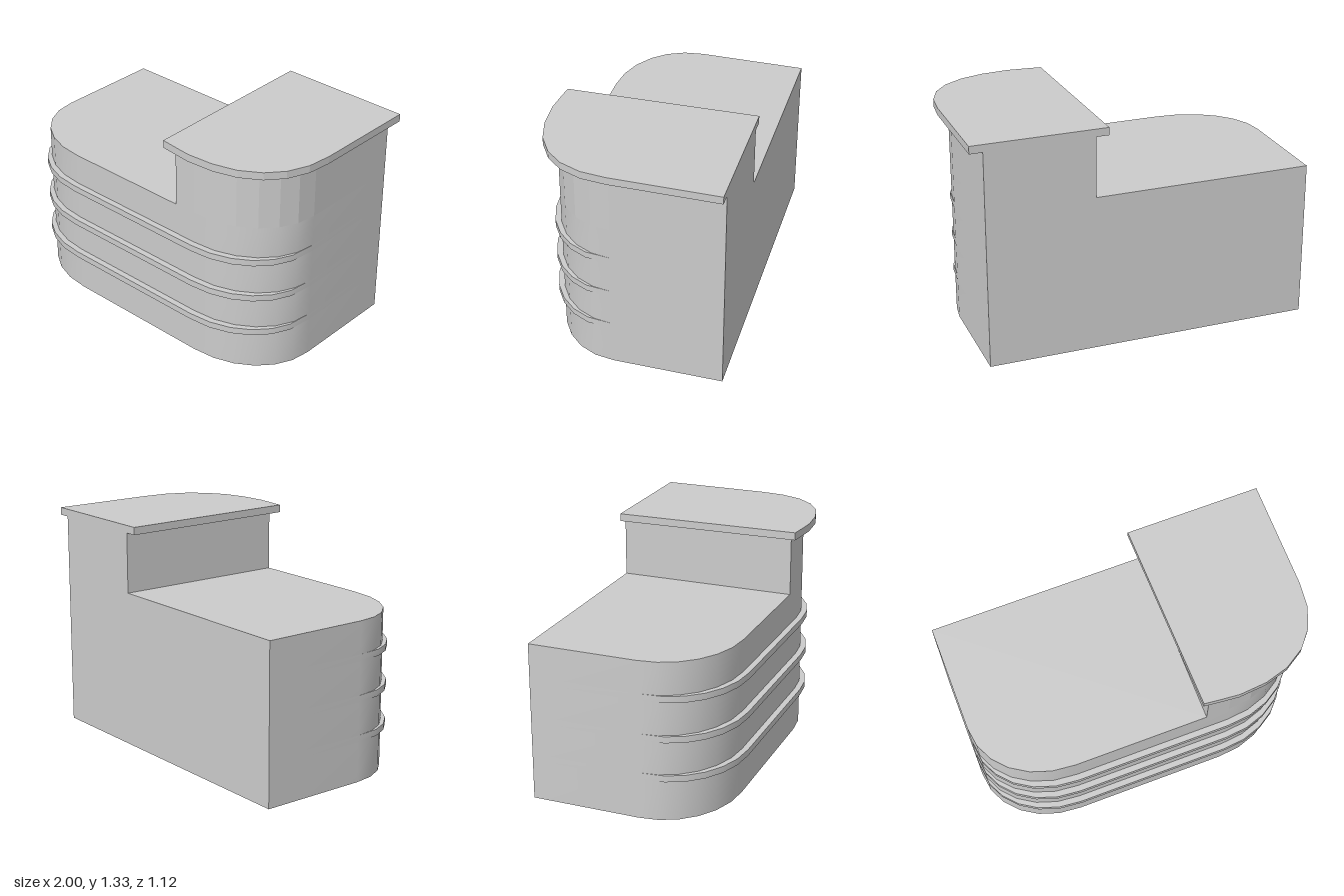
import * as THREE from 'three';

const BACK = -0.56, LEFT = -1, RIGHT = 0.925, FRONT = 0.5;
const DECK = 0.93, STEP_X = 0.29, RISER_TOP = 1.285, CAP_H = 0.045;

const material = new THREE.MeshStandardMaterial({ color: 0xcccccc, side: THREE.DoubleSide });

// Rounded corner from the side wall (a = 0) to the front wall (a = 90 degrees), as [x, z]
function corner(sign) {
  const pts = [], steps = 6;
  const cx = sign < 0 ? LEFT + 0.5 : RIGHT - 0.5;
  for (let i = 0; i <= steps; i++) {
    const a = (i / steps) * Math.PI / 2;
    const e = 0.96;
    pts.push([cx + sign * 0.5 * Math.cos(a) ** e, 0.08 + 0.42 * Math.sin(a) ** e]);
  }
  return pts;
}

// Ruled strip between two plan paths, each at its own height
function strip(lower, y0, upper, y1, flat = false) {
  const pos = [], index = [];
  lower.forEach(([x, z], i) => {
    pos.push(x, y0, z, upper[i][0], y1, upper[i][1]);
    if (i) {
      const a = 2 * i - 2;
      index.push(a, a + 2, a + 3, a, a + 3, a + 1);
    }
  });
  let g = new THREE.BufferGeometry();
  g.setAttribute('position', new THREE.Float32BufferAttribute(pos, 3));
  g.setIndex(index);
  if (flat) g = g.toNonIndexed();
  g.computeVertexNormals();
  return g;
}

// Plan outline as a shape; after rotateX(-90 degrees) it lies flat with the right z
const planShape = pts => new THREE.Shape(pts.map(([x, z]) => new THREE.Vector2(x, -z)));

export function createModel() {
  const model = new THREE.Group();
  const add = (parent, name, geometry) => {
    const mesh = new THREE.Mesh(geometry, material);
    mesh.name = name;
    parent.add(mesh);
  };

  const leftCorner = corner(-1), rightCorner = corner(1).reverse();
  const path = [[LEFT, BACK], ...leftCorner, ...rightCorner, [RIGHT, BACK]];
  // Bands follow the wall pushed forward, fading into the sides
  const bandPath = path.map(([x, z]) => [x, z > 0.081 ? z + 0.036 : z]);

  // Curved front wall, swelling out into three bands, open underneath
  const wall = new THREE.Group();
  wall.name = 'frontWall';
  model.add(wall);
  let y = 0;
  for (const y0 of [0.236, 0.468, 0.702]) {
    const y1 = y0 + 0.038;
    add(wall, 'wallPanel', strip(path, y, path, y0));
    add(wall, 'bandUnderside', strip(path, y0, bandPath, y0));
    add(wall, 'bandFace', strip(bandPath, y0, bandPath, y1));
    add(wall, 'bandTop', strip(bandPath, y1, path, y1));
    y = y1;
  }
  add(wall, 'wallPanel', strip(path, y, path, DECK));

  // Flat stepped back
  const back = new THREE.Shape([
    [LEFT, 0], [RIGHT, 0], [RIGHT, RISER_TOP], [STEP_X, RISER_TOP], [STEP_X, DECK], [LEFT, DECK],
  ].map(([x, h]) => new THREE.Vector2(-x, h)));
  add(model, 'backPanel', new THREE.ShapeGeometry(back).rotateY(Math.PI).translate(0, 0, BACK));

  // Low counter top
  const deck = [[LEFT, BACK], ...leftCorner, [STEP_X, FRONT], [STEP_X, BACK]];
  add(model, 'lowCounterTop',
    new THREE.ShapeGeometry(planShape(deck)).rotateX(-Math.PI / 2).translate(0, DECK, 0));

  // Faceted raised section
  const riser = [[STEP_X, BACK], [STEP_X, FRONT], ...rightCorner, [RIGHT, BACK]];
  add(model, 'raisedSection', strip(riser, DECK, riser, RISER_TOP, true));

  // Overhanging slab on the raised section
  const slab = [
    [0.215, BACK], [0.237, 0.54], [0.34, 0.551], [0.44, 0.56], [0.6, 0.547], [0.74, 0.507],
    [0.855, 0.435], [0.935, 0.34], [0.985, 0.215], [1, 0.07], [1, BACK],
  ];
  add(model, 'raisedCounterTop',
    new THREE.ExtrudeGeometry(planShape(slab), { depth: CAP_H, bevelEnabled: false })
      .rotateX(-Math.PI / 2).translate(0, RISER_TOP, 0));

  return model;
}
